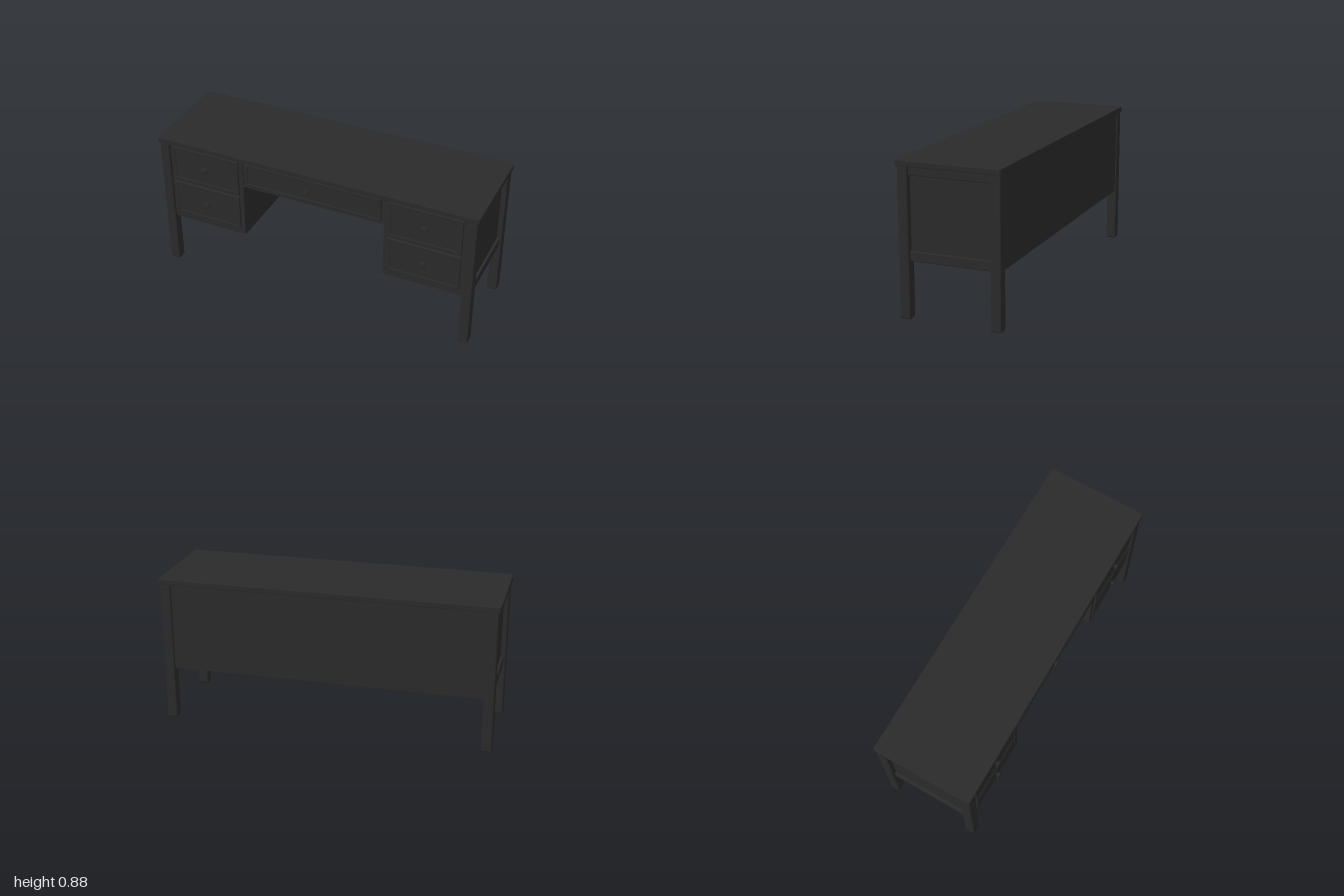
import * as THREE from 'three';
import { RoundedBoxGeometry } from 'three/addons/geometries/RoundedBoxGeometry.js';

export function createModel() {
  const paint = new THREE.MeshStandardMaterial({ color: 0x2a2a2a });
  paint.name = 'blackBrown';
  const desk = new THREE.Group();
  desk.name = 'desk';

  function add(name, geometry, parent = desk) {
    const mesh = new THREE.Mesh(geometry, paint);
    mesh.name = name;
    parent.add(mesh);
    return mesh;
  }

  // Box given by its limits on each axis, with optional rounded edges
  function box(name, [x0, x1], [y0, y1], [z0, z1], radius = 0, parent = desk) {
    const size = [x1 - x0, y1 - y0, z1 - z0];
    const geometry = radius ? new RoundedBoxGeometry(...size, 3, radius) : new THREE.BoxGeometry(...size);
    const mesh = add(name, geometry, parent);
    mesh.position.set((x0 + x1) / 2, (y0 + y1) / 2, (z0 + z1) / 2);
    return mesh;
  }

  const mirrored = (side, a, b) => (side > 0 ? [a, b] : [-b, -a]);

  // Rectangle outline, with optional cut corners
  function rectangle(target, w, h, cut = 0) {
    const x = w / 2, y = h / 2;
    target.moveTo(-x + cut, -y);
    target.lineTo(x - cut, -y);
    if (cut) target.quadraticCurveTo(x, -y, x, -y + cut);
    target.lineTo(x, y - cut);
    if (cut) target.quadraticCurveTo(x, y, x - cut, y);
    target.lineTo(-x + cut, y);
    if (cut) target.quadraticCurveTo(-x, y, -x, y - cut);
    target.lineTo(-x, -y + cut);
    if (cut) target.quadraticCurveTo(-x, -y, -x + cut, -y);
    return target;
  }

  // Mushroom knob turned around its stem
  const knobProfile = [
    [0.013, 0], [0.009, 0.004], [0.009, 0.013], [0.02, 0.0135],
    [0.0215, 0.015], [0.0215, 0.0225], [0.019, 0.0255], [0, 0.0265],
  ].map(([r, y]) => new THREE.Vector2(r, y));
  const knobGeometry = new THREE.LatheGeometry(knobProfile, 24);
  knobGeometry.rotateX(Math.PI / 2);

  // Drawer: bevelled frame around a sunken panel, with a knob
  function drawer(name, [x0, x1], [y0, y1], front, knobX) {
    const group = new THREE.Group();
    group.name = name;
    group.position.set((x0 + x1) / 2, (y0 + y1) / 2, front);
    const w = x1 - x0, h = y1 - y0, bevel = 0.003;
    const shape = rectangle(new THREE.Shape(), w - 2 * bevel, h - 2 * bevel);
    shape.holes.push(rectangle(new THREE.Path(), w - 0.032, h - 0.032));
    const frame = new THREE.ExtrudeGeometry(shape, {
      depth: 0.009, bevelEnabled: true, bevelSize: bevel, bevelThickness: bevel, bevelSegments: 1,
    });
    frame.translate(0, 0, -0.009 - bevel);
    add('drawerFrame', frame, group);
    box('drawerPanel', [-w / 2 + 0.01, w / 2 - 0.01], [-h / 2 + 0.01, h / 2 - 0.01], [-0.014, -0.003], 0, group);
    add('knob', knobGeometry, group).position.set(knobX - (x0 + x1) / 2, 0, -0.004);
    desk.add(group);
  }

  // Table top with softened corners and edges
  const topEdge = 0.004;
  const top = new THREE.ExtrudeGeometry(rectangle(new THREE.Shape(), 2 - 2 * topEdge, 0.61 - 2 * topEdge, 0.012), {
    depth: 0.033 - 2 * topEdge, bevelEnabled: true, bevelSize: topEdge, bevelThickness: topEdge, bevelSegments: 2,
  });
  top.rotateX(-Math.PI / 2);
  top.translate(0, 0.852 + topEdge, -0.005);
  add('tableTop', top);

  for (const side of [-1, 1]) {
    const label = side > 0 ? 'left' : 'right';
    const x = (a, b) => mirrored(side, a, b);

    // Legs
    box(label + 'FrontLeg', x(0.927, 0.989), [0, 0.856], [0.23, 0.293], 0.01);
    box(label + 'BackLeg', x(0.927, 0.989), [0, 0.856], [-0.305, -0.242], 0.01);

    // Side panel between rails
    box(label + 'SidePanel', x(0.938, 0.958), [0.335, 0.852], [-0.25, 0.24]);
    box(label + 'SideTopRail', x(0.935, 0.974), [0.8, 0.852], [-0.25, 0.24], 0.005);
    box(label + 'SideBottomRail', x(0.935, 0.974), [0.329, 0.384], [-0.25, 0.24], 0.005);

    // Drawer pedestal, open below a raised floor
    box(label + 'InnerWall', x(0.445, 0.462), [0.328, 0.852], [-0.275, 0.278]);
    box(label + 'PedestalFloor', x(0.46, 0.945), [0.4, 0.412], [-0.275, 0.27]);
    box(label + 'PedestalBack', x(0.46, 0.93), [0.345, 0.852], [0.24, 0.27]);
    box(label + 'OuterStile', x(0.91, 0.93), [0.328, 0.852], [0.24, 0.278]);
    box(label + 'InnerStile', x(0.46, 0.47), [0.328, 0.852], [0.24, 0.278]);
    for (const [y0, y1] of [[0.328, 0.367], [0.596, 0.608], [0.842, 0.852]])
      box(label + 'PedestalRail', x(0.465, 0.915), [y0, y1], [0.24, 0.278]);

    // Two drawers on each side
    drawer(label + 'UpperDrawer', x(0.472, 0.909), [0.61, 0.84], 0.288, side * 0.692);
    drawer(label + 'LowerDrawer', x(0.472, 0.909), [0.369, 0.594], 0.288, side * 0.692);
  }

  // Middle drawer and its compartment
  box('middleTopRail', [-0.45, 0.45], [0.842, 0.852], [0.24, 0.278]);
  box('middleBottomRail', [-0.45, 0.45], [0.675, 0.688], [0.24, 0.278]);
  box('middleBacking', [-0.45, 0.45], [0.68, 0.852], [0.24, 0.27]);
  box('middleFloor', [-0.45, 0.45], [0.68, 0.692], [-0.275, 0.25]);
  drawer('middleDrawer', [-0.428, 0.428], [0.69, 0.84], 0.285, -0.028);

  // Thick back panel
  box('backPanel', [-0.935, 0.935], [0.328, 0.852], [-0.295, -0.242]);

  return desk;
}
